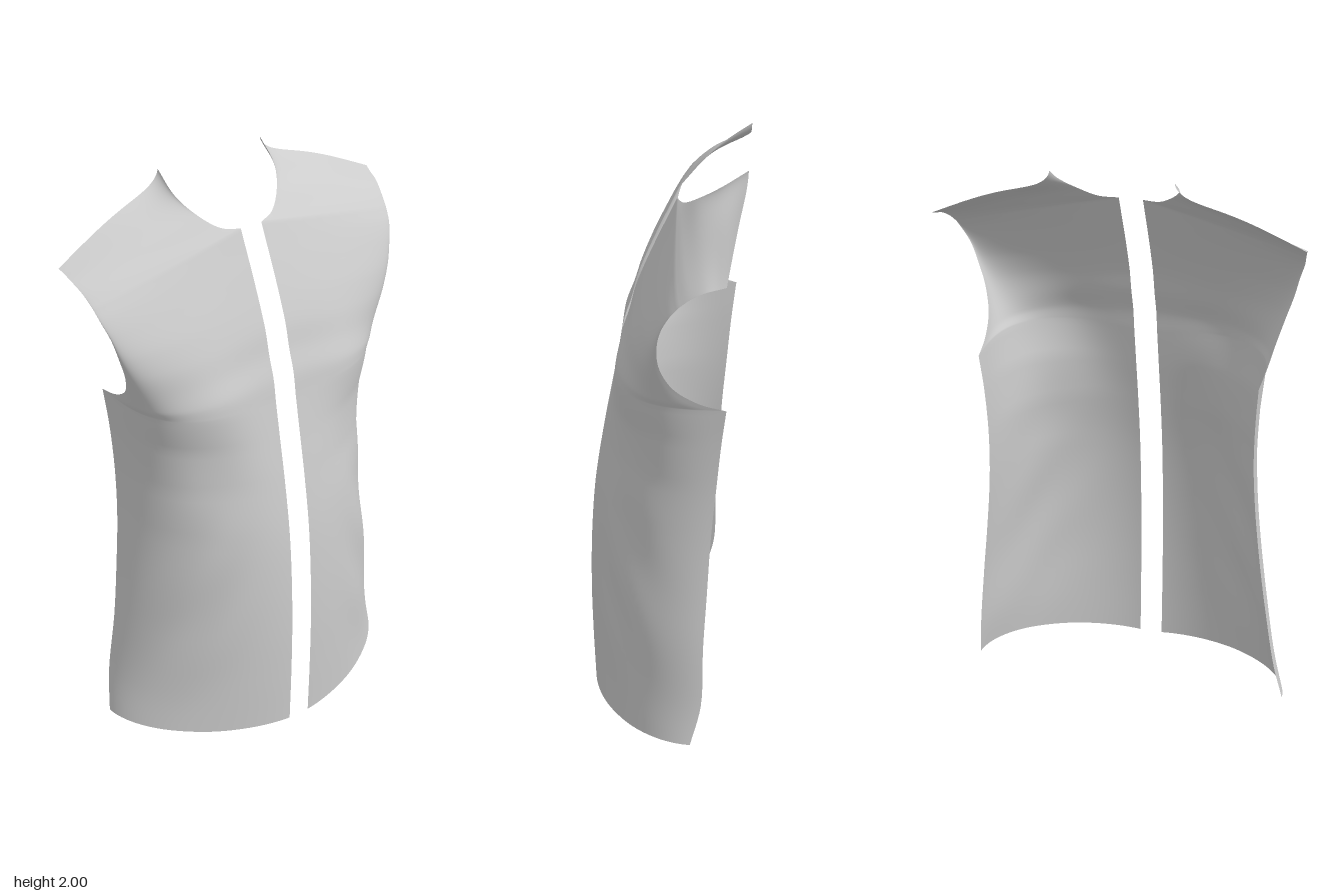
import * as THREE from 'three';

// Paired stations from hem to shoulder:
// inner edge (x, y, z), outer edge (x, y, z), roundness of the section between them
const STATIONS = [
  // body: front opening / side seam
  [.04, 0, .25, .552, .05, -.11, 1.8],
  [.04, .2, .257, .53, .2, -.145, 1.85],
  [.04, .4, .26, .503, .42, -.15, 1.9],
  [.04, .6, .255, .48, .62, -.16, 1.95],
  [.04, .8, .24, .462, .82, -.17, 2],
  [.04, 1, .21, .455, 1, -.185, 2.15],
  [.04, 1.15, .182, .46, 1.17, -.2, 2.5],
  [.04, 1.28, .158, .47, 1.3, -.215, 3.2],
  // chest: front opening / armhole
  [.04, 1.36, .145, .475, 1.325, -.13, 3.1],
  [.04, 1.44, .12, .487, 1.38, -.05, 2.8],
  [.04, 1.52, .1, .51, 1.46, -.008, 2.5],
  [.04, 1.6, .07, .535, 1.54, 0, 2.2],
  [.04, 1.7, .027, .553, 1.61, -.012, 2],
  [.04, 1.78, -.01, .572, 1.67, -.04, 1.8],
  [.04, 1.835, -.035, .581, 1.71, -.07, 1.6],
  // yoke: neckline / armhole
  [.1, 1.845, -.06, .59, 1.745, -.11, 1.4],
  [.16, 1.89, -.115, .6, 1.77, -.15, 1.25],
  [.195, 1.94, -.18, .605, 1.785, -.19, 1.1],
  [.2, 2, -.265, .61, 1.795, -.215, 1],
];
const SECTIONS = [[0, 7], [7, 14], [14, 18]]; // split at the underarm and neck corners
const STEPS = 6, COLS = 40;

const bump = (v, centre, width) => Math.exp(-(((v - centre) / width) ** 2));

// Smooth rows of paired edge points, keeping the corners sharp
function edgeRows() {
  const rows = [];
  for (const [from, to] of SECTIONS) {
    const part = STATIONS.slice(from, to + 1);
    const curve = k => new THREE.CatmullRomCurve3(
      part.map(s => new THREE.Vector3(s[k], s[k + 1], s[k + 2])));
    const inner = curve(0), outer = curve(3), n = (to - from) * STEPS;
    for (let i = from ? 1 : 0; i <= n; i++) {
      const k = Math.min(Math.floor(i / STEPS), to - from - 1);
      const p = THREE.MathUtils.lerp(part[k][6], part[k + 1][6], i / STEPS - k);
      rows.push({ a: inner.getPoint(i / n), b: outer.getPoint(i / n), p });
    }
  }
  return rows;
}

// One front panel; side is +1 (left) or -1 (right)
function panelGeometry(side) {
  const rows = edgeRows(), pos = [], index = [];
  rows.forEach(({ a, b, p }) => {
    for (let j = 0; j <= COLS; j++) {
      const ang = (j / COLS) * Math.PI / 2;
      const t = j === COLS ? 1 : Math.sin(ang) ** (2 / p);
      const f = j === COLS ? 0 : Math.cos(ang) ** (2 / p);
      let x = a.x + (b.x - a.x) * t;
      let y = a.y + (b.y - a.y) * t;
      let z = b.z + (a.z - b.z) * f;
      const inside = Math.sin(Math.PI * Math.min(t, 1)); // fades out at both edges
      // fullness of the bust and the hollow beneath it
      z += inside * (.012 * bump(y, 1.36, .12) * bump(x, .27, .15)
        - .012 * bump(y, 1.08, .14) * bump(x, .3, .12));
      // soft diagonal folds falling from the side seam
      const fold = Math.sin((y + x * 1.6) * 17 + side * .6) * bump(y, .62, .38) * bump(x, .4, .13);
      z += inside * .007 * fold;
      x += inside * .004 * fold;
      // shoulder seam dips beside the neck
      y -= .14 * Math.sqrt(t) * (1 - t) ** 4 * THREE.MathUtils.smoothstep(a.y, 1.87, 2);
      // hem flares slightly more on the right side
      x -= side * .012 * t * (1 - THREE.MathUtils.smoothstep(y, 0, .5));
      pos.push(side * x, y, z);
    }
  });
  const w = COLS + 1;
  for (let i = 0; i < rows.length - 1; i++) {
    for (let j = 0; j < COLS; j++) {
      const q = i * w + j, r = q + 1, s = q + w, u = s + 1;
      if (side > 0) index.push(q, r, u, q, u, s);
      else index.push(q, u, r, q, s, u);
    }
  }
  const g = new THREE.BufferGeometry();
  g.setAttribute('position', new THREE.Float32BufferAttribute(pos, 3));
  g.setIndex(index);
  g.computeVertexNormals();
  return g;
}

export function createModel() {
  const group = new THREE.Group();
  group.name = 'vestFront';
  const cloth = new THREE.MeshStandardMaterial({ color: 0xcccccc, side: THREE.DoubleSide });
  for (const side of [1, -1]) {
    const panel = new THREE.Mesh(panelGeometry(side), cloth);
    panel.name = side > 0 ? 'leftFrontPanel' : 'rightFrontPanel';
    group.add(panel);
  }
  return group;
}
